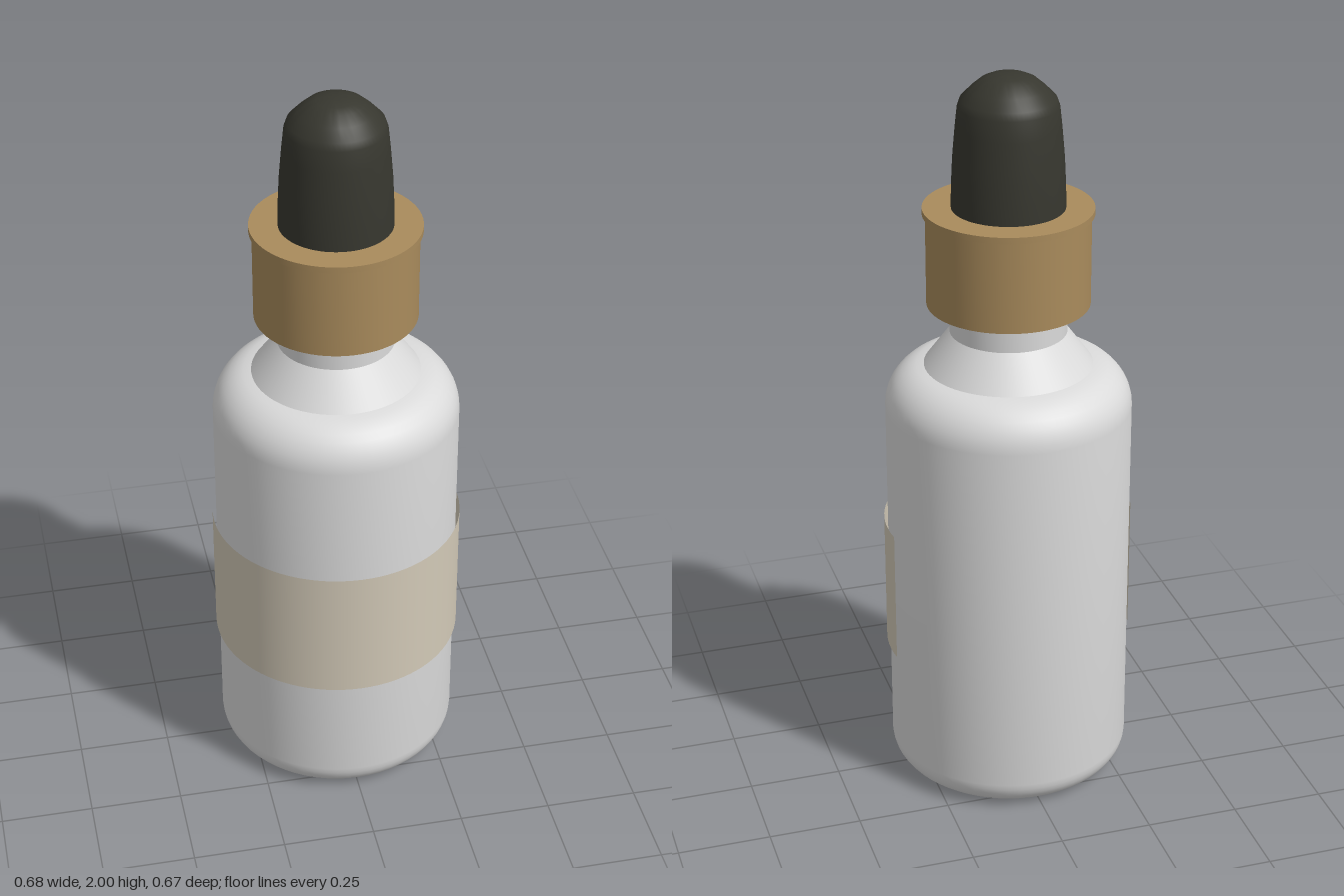
import * as THREE from 'three';
import { toCreasedNormals } from 'three/addons/utils/BufferGeometryUtils.js';

const SEGMENTS = 64;

function material(name, color) {
  const m = new THREE.MeshStandardMaterial({ color });
  m.name = name;
  return m;
}

// Quarter-round points around (cx, cy), from angle a0 to a1 in degrees
function arc(cx, cy, rx, ry, a0, a1, steps = 8) {
  return Array.from({ length: steps + 1 }, (_, i) => {
    const a = THREE.MathUtils.degToRad(a0 + ((a1 - a0) * i) / steps);
    return [cx + rx * Math.cos(a), cy + ry * Math.sin(a)];
  });
}

// Revolved part; the profile runs bottom to top along the outside
function revolve(name, profile, mat) {
  const points = profile.map(([r, y]) => new THREE.Vector2(Math.max(r, 0), y));
  const geometry = toCreasedNormals(new THREE.LatheGeometry(points, SEGMENTS), 0.5);
  const mesh = new THREE.Mesh(geometry, mat);
  mesh.name = name;
  return mesh;
}

export function createModel() {
  const glass = material('pale grey glass', 0xdadada);
  const gold = material('matte gold', 0xa98b5c);
  const rubber = material('black rubber', 0x37372f);
  const paper = material('cream paper', 0xd2c9b7);
  paper.side = THREE.DoubleSide;

  const model = new THREE.Group();
  model.name = 'dropperBottle';

  // Bottle: flat base, rounded corner, rounded shoulder, sloped neck
  model.add(revolve('bottle', [
    [0, 0],
    ...arc(0.25, 0.08, 0.08, 0.08, -90, 0),
    ...arc(0.215, 1.09, 0.115, 0.117, 0, 85),
    [0.156, 1.3],
    [0.156, 1.6],
    [0, 1.6],
  ], glass));

  // Collar: hollow sleeve open underneath, with a thin lip at the top
  model.add(revolve('collar', [
    [0, 1.61],
    [0.192, 1.61],
    [0.192, 1.38],
    [0.216, 1.38],
    [0.216, 1.628],
    [0.224, 1.628],
    [0.224, 1.645],
    [0, 1.645],
  ], gold));

  // Squeeze bulb: gently tapered, chamfered to a domed tip
  model.add(revolve('bulb', [
    [0.149, 1.64],
    [0.148, 1.7],
    [0.144, 1.78],
    [0.137, 1.86],
    [0.131, 1.915],
    [0.124, 1.935],
    [0.098, 1.962],
    [0.072, 1.984],
    [0.05, 1.994],
    [0.025, 1.999],
    [0, 2],
  ], rubber));

  // Label: curved sheet wrapped a little past both sides
  const half = THREE.MathUtils.degToRad(98.5);
  const label = new THREE.Mesh(
    new THREE.CylinderGeometry(0.34, 0.34, 0.375, 48, 1, true, -half, half * 2), paper);
  label.name = 'label';
  label.position.y = 0.567;
  model.add(label);

  // Centre the depth, since the label adds thickness at the front only
  for (const part of model.children) part.position.z = -0.005;
  return model;
}
